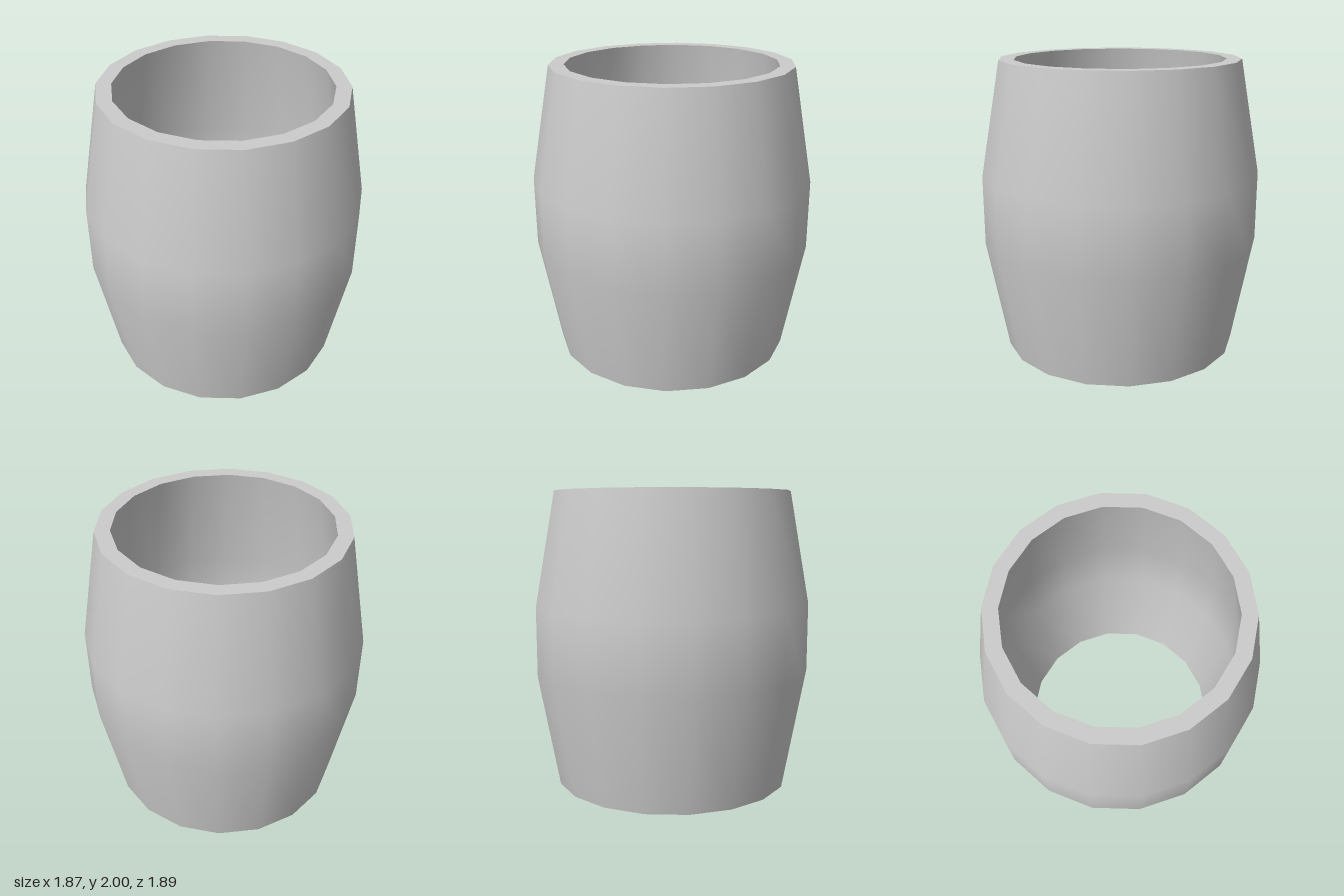
import * as THREE from 'three';

const SIDES = 18;

export function createModel() {
  const group = new THREE.Group();
  group.name = 'barrelRing';
  const material = new THREE.MeshStandardMaterial({ color: 0xcccccc });

  // Radius and height, bottom to top
  const outer = [[0.808, 0], [0.947, 0.765], [0.947, 1.235], [0.808, 2]];
  const inner = [[0.708, 0], [0.847, 0.765], [0.847, 1.235], [0.708, 2]];

  // Separate lathes keep the rim edges sharp and the walls smooth
  const addLathe = (name, profile) => {
    const points = profile.map(([r, y]) => new THREE.Vector2(r, y));
    const mesh = new THREE.Mesh(new THREE.LatheGeometry(points, SIDES), material);
    mesh.name = name;
    group.add(mesh);
  };

  addLathe('outerWall', outer);
  addLathe('innerWall', [...inner].reverse());
  addLathe('bottomRim', [inner[0], outer[0]]);
  addLathe('topRim', [outer[3], inner[3]]);

  return group;
}
